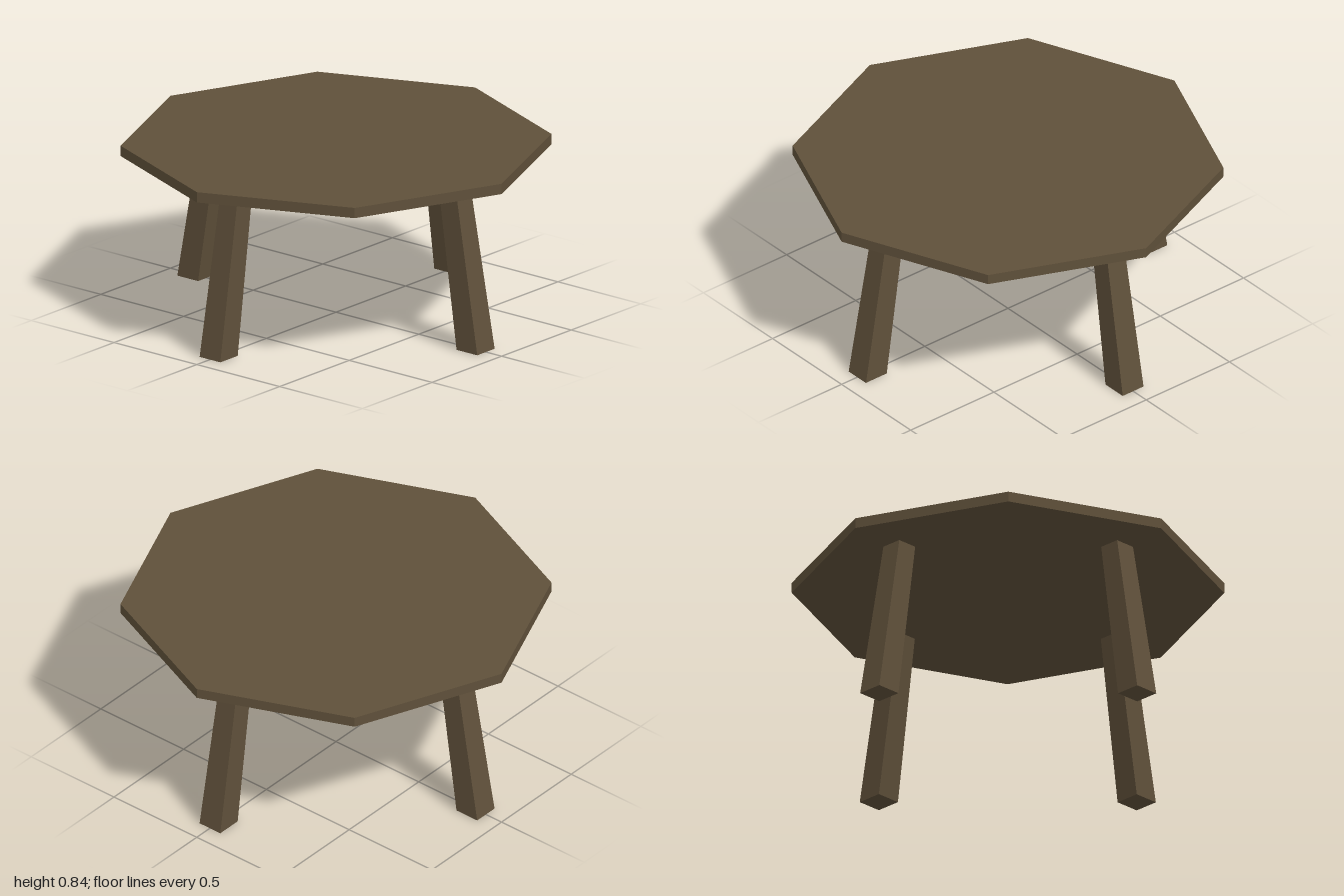
import * as THREE from 'three';

const TOP_Y = 0.84, UNDERSIDE_Y = 0.79;

// Square leg: tapers upward and leans in towards the centre (built for the +z side)
function legGeometry() {
  const geometry = new THREE.BoxGeometry(1, UNDERSIDE_Y, 1);
  geometry.translate(0, UNDERSIDE_Y / 2, 0);
  const p = geometry.attributes.position;
  for (let i = 0; i < p.count; i++) {
    const t = p.getY(i) / UNDERSIDE_Y;
    const width = THREE.MathUtils.lerp(0.125, 0.104, t);
    const offset = THREE.MathUtils.lerp(0.843, 0.712, t);
    p.setX(i, p.getX(i) * width);
    p.setZ(i, p.getZ(i) * width + offset);
  }
  geometry.computeVertexNormals();
  return geometry;
}

export function createModel() {
  const model = new THREE.Group();
  model.name = 'table';
  const wood = new THREE.MeshStandardMaterial({ color: 0x5f503a, flatShading: true });

  // Octagonal top with corners on the x and z axes
  const top = new THREE.Mesh(
    new THREE.CylinderGeometry(1, 1, TOP_Y - UNDERSIDE_Y, 8), wood);
  top.position.y = (TOP_Y + UNDERSIDE_Y) / 2;
  top.name = 'tableTop';
  model.add(top);

  // Four legs, one towards each axis corner
  const geometry = legGeometry();
  ['frontLeg', 'leftLeg', 'backLeg', 'rightLeg'].forEach((name, i) => {
    const leg = new THREE.Mesh(geometry, wood);
    leg.rotation.y = i * Math.PI / 2;
    leg.name = name;
    model.add(leg);
  });

  return model;
}
